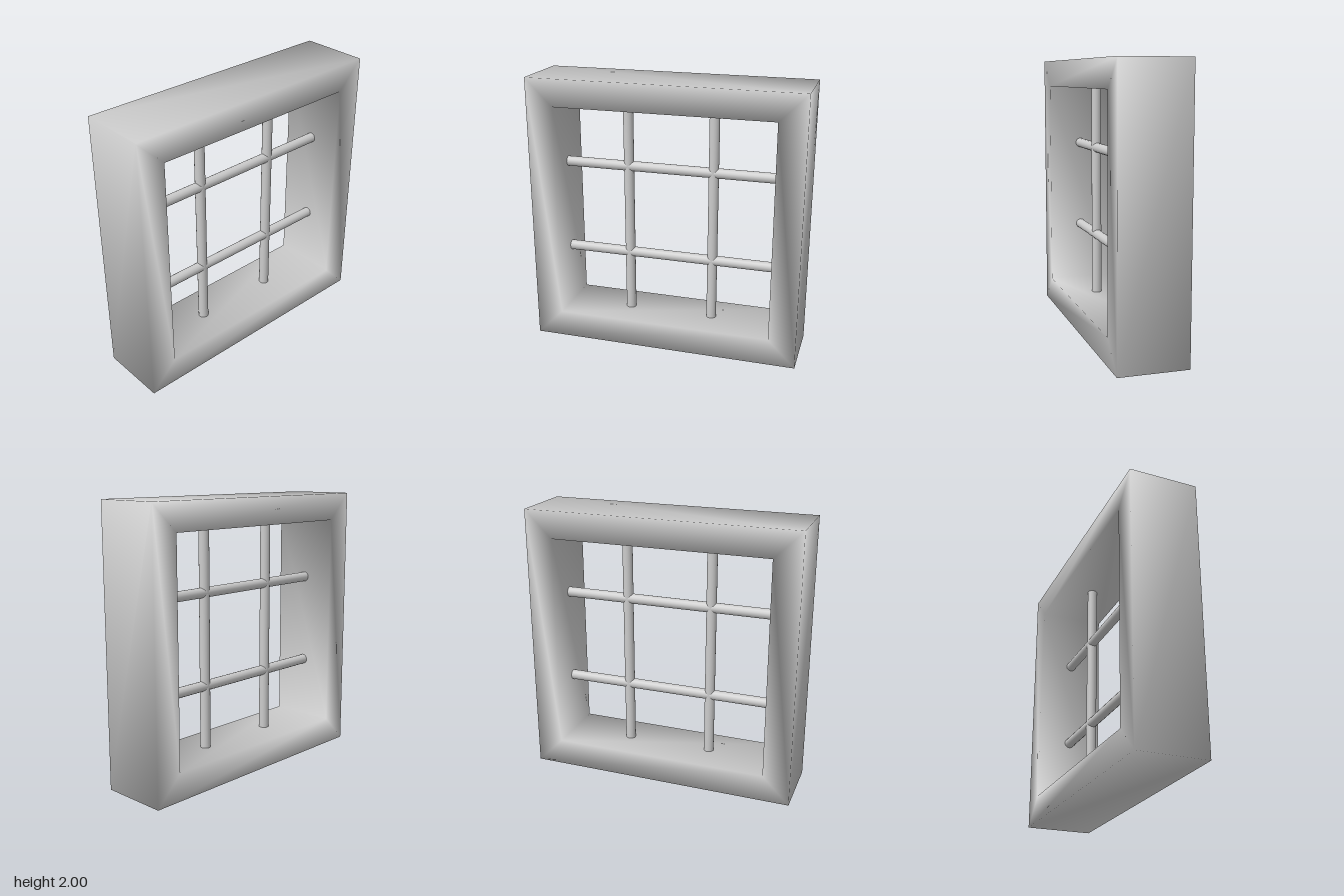
import * as THREE from 'three';

const HALF_DEPTH = 0.25, OUTER = 1, INNER = 0.8;
const BAR_RADIUS = 0.037, BAR_OFFSET = 0.32, BAR_SPREAD = 0.339;

// Square ring with shared corner vertices, so the shading runs softly round its edges
function frameGeometry() {
  const profile = [[HALF_DEPTH, OUTER], [HALF_DEPTH, INNER], [-HALF_DEPTH, INNER], [-HALF_DEPTH, OUTER]];
  const corners = [[-1, 1], [1, 1], [1, -1], [-1, -1]]; // y, z signs
  const positions = [], index = [];
  for (const [y, z] of corners) {
    for (const [x, r] of profile) positions.push(x, 1 + y * r, z * r);
  }
  for (let k = 0; k < 4; k++) {
    for (let j = 0; j < 4; j++) {
      const k2 = (k + 1) % 4, j2 = (j + 1) % 4;
      const a = k * 4 + j, b = k * 4 + j2, c = k2 * 4 + j2, d = k2 * 4 + j;
      if (j === 3) index.push(a, b, c, a, c, d);
      else index.push(a, b, d, b, c, d);
    }
  }
  const geometry = new THREE.BufferGeometry();
  geometry.setAttribute('position', new THREE.Float32BufferAttribute(positions, 3));
  geometry.setIndex(index);
  geometry.computeVertexNormals();
  return geometry;
}

export function createModel() {
  const model = new THREE.Group();
  model.name = 'barredWindow';
  const material = new THREE.MeshStandardMaterial({ color: 0xcccccc });

  const frame = new THREE.Mesh(frameGeometry(), material);
  frame.name = 'frame';
  model.add(frame);

  // Two upright and two level round bars crossing in the middle plane
  const barGeometry = new THREE.CylinderGeometry(BAR_RADIUS, BAR_RADIUS, INNER * 2, 16);
  for (const side of [-1, 1]) {
    const upright = new THREE.Mesh(barGeometry, material);
    upright.name = side > 0 ? 'frontVerticalBar' : 'backVerticalBar';
    upright.position.set(0, 1, side * BAR_OFFSET);
    model.add(upright);

    const level = new THREE.Mesh(barGeometry, material);
    level.name = side > 0 ? 'upperHorizontalBar' : 'lowerHorizontalBar';
    level.rotation.x = Math.PI / 2;
    level.position.set(0, 1 + side * BAR_SPREAD, 0);
    model.add(level);
  }
  return model;
}
